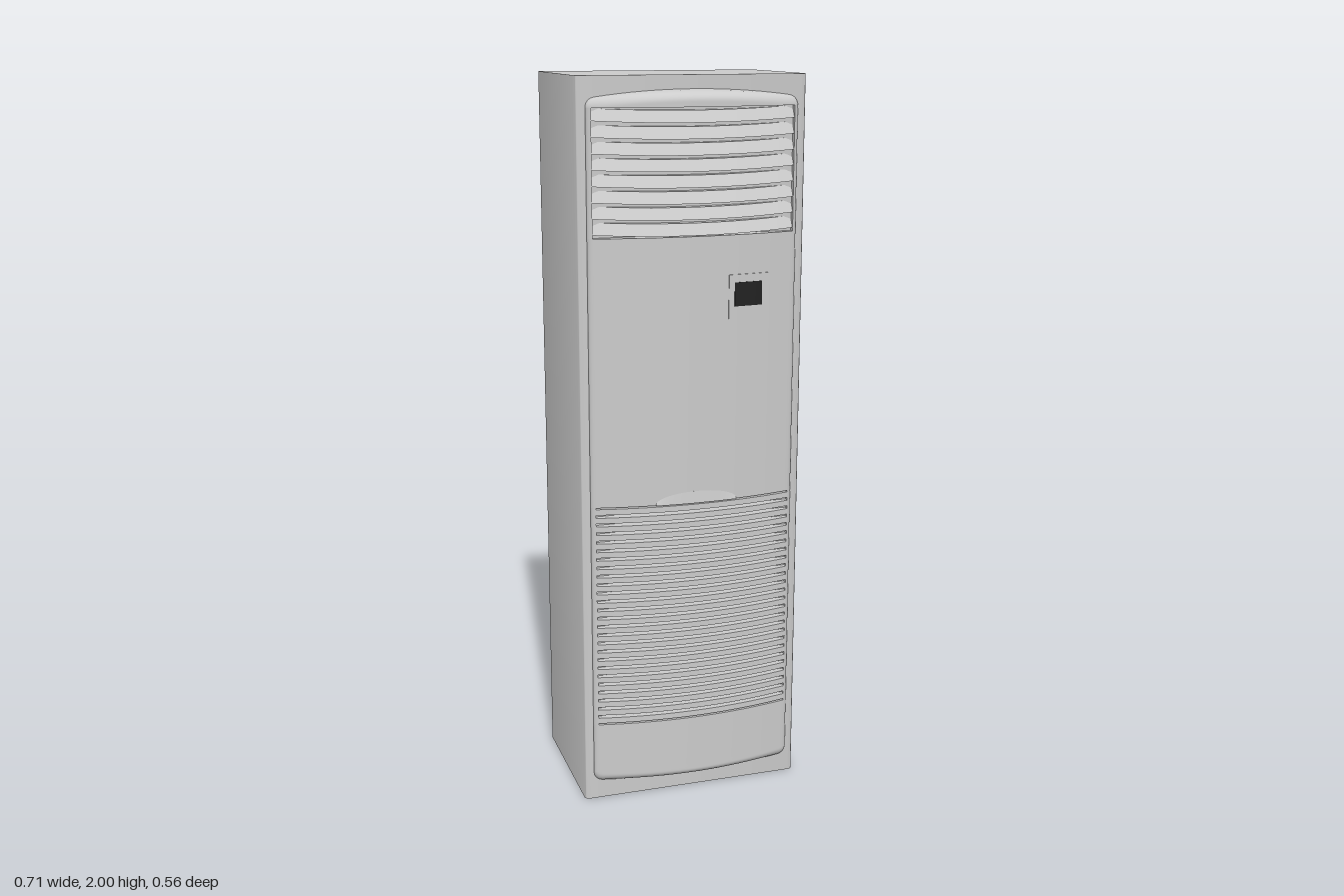
import * as THREE from 'three';
import { toCreasedNormals } from 'three/addons/utils/BufferGeometryUtils.js';

const W = 0.628, D = 0.411, H = 2;      // cabinet
const HALF = 0.288;                      // half width of the bowed front panel
const BACK = 0.2;                        // panel pieces start just inside the cabinet front
const GRILLE = 0.276;                    // half width of the openings

const grey = new THREE.MeshStandardMaterial({ color: 0xcccccc });
const dark = new THREE.MeshStandardMaterial({ color: 0x222222 });

// quarter-round falloff: 0 at the edge, 1 from distance r inward
const round = (d, r) => (d >= r ? 1 : Math.sqrt(Math.max(0, 1 - (1 - d / r) ** 2)));

// depth of the bowed front at a sideways position
const bow = (x) => {
  const t = x / HALF;
  return 0.208 + (0.042 - 0.034 * t * t) * round(HALF - Math.abs(x), 0.012);
};

// a box whose height and front follow rules across its width
function bentBox(name, x0, x1, low, high, front, { nx = 28, ny = 1, material = grey, dense = false } = {}) {
  const geo = new THREE.BoxGeometry(1, 1, 1, nx, ny, 1);
  const p = geo.attributes.position;
  for (let i = 0; i < p.count; i++) {
    let s = p.getX(i) * 2;
    if (dense) s = Math.sin(s * Math.PI / 2);       // finer steps at the rounded sides
    const x = x0 + (x1 - x0) * (s + 1) / 2;
    const t = p.getY(i) + 0.5;
    const y = low(x) + (high(x) - low(x)) * t;
    p.setXYZ(i, x, y, p.getZ(i) > 0 ? front(x, y, t) : BACK);
  }
  geo.computeVertexNormals();
  const mesh = new THREE.Mesh(geo, material);
  mesh.name = name;
  return mesh;
}

const level = (y) => () => y;

function makeCabinet() {
  const w = W / 2, d = D / 2, r = 0.014;
  // plan drawn with shape y = -z, so the front corners are the lower ones
  const s = new THREE.Shape();
  s.moveTo(-w, d);
  s.lineTo(-w, -d + r);
  s.absarc(-w + r, -d + r, r, Math.PI, Math.PI * 1.5, false);
  s.lineTo(w - r, -d);
  s.absarc(w - r, -d + r, r, Math.PI * 1.5, Math.PI * 2, false);
  s.lineTo(w, d);
  s.closePath();
  let geo = new THREE.ExtrudeGeometry(s, { depth: H, bevelEnabled: false, curveSegments: 8 });
  geo.rotateX(-Math.PI / 2);
  geo = toCreasedNormals(geo, 0.6);
  const mesh = new THREE.Mesh(geo, grey);
  mesh.name = 'cabinet';
  return mesh;
}

function makeFrontPanel() {
  const g = new THREE.Group();
  g.name = 'frontPanel';
  const full = { dense: true, nx: 40 };
  const corner = (x, r) => r * (1 - round(HALF - Math.abs(x), r));
  const topEdge = (x) => 1.965 - 0.02 * (x / HALF) ** 2 - corner(x, 0.022);
  const bottomEdge = (x) => 0.045 + 0.01 * (x / HALF) ** 2 + corner(x, 0.022);

  // rounded top and bottom rims
  g.add(bentBox('topRim', -HALF, HALF, level(1.92), topEdge, (x, y) => {
    const f = round(topEdge(x) - y, Math.min(0.03, topEdge(x) - 1.92));
    return BACK + (bow(x) - BACK) * f;
  }, { ...full, ny: 10 }));
  g.add(bentBox('bottomRim', -HALF, HALF, bottomEdge, level(0.085), (x, y) => {
    const f = round(y - bottomEdge(x), Math.min(0.025, 0.085 - bottomEdge(x)));
    return BACK + (bow(x) - BACK) * f;
  }, { ...full, ny: 10 }));

  // plain areas
  g.add(bentBox('middlePanel', -HALF, HALF, level(0.865), level(1.59), bow, full));
  g.add(bentBox('lowerPanel', -HALF, HALF, level(0.085), level(0.23), bow, full));

  // narrow posts beside both openings
  for (const [y0, y1] of [[0.23, 0.865], [1.59, 1.92]]) {
    g.add(bentBox('rightPost', -HALF, -GRILLE, level(y0), level(y1), bow, { nx: 8, dense: true }));
    g.add(bentBox('leftPost', GRILLE, HALF, level(y0), level(y1), bow, { nx: 8, dense: true }));
  }
  return g;
}

// sloping, slightly drooping blades of the upper outlet
function makeOutlet() {
  const g = new THREE.Group();
  g.name = 'airOutlet';
  const n = 8, pitch = 0.33 / n;
  const droop = (x) => 0.007 * (x / GRILLE) ** 2;
  for (let i = 0; i < n; i++) {
    const y = 1.59 + i * pitch + 0.002;
    g.add(bentBox('outletBlade', -GRILLE, GRILLE,
      (x) => y + droop(x), (x) => y + 0.031 + droop(x),
      (x, yy, t) => bow(x) - 0.002 - 0.016 * t));
  }
  return g;
}

// fine horizontal bars of the lower intake
function makeIntake() {
  const g = new THREE.Group();
  g.name = 'airIntake';
  const n = 26, pitch = 0.635 / n;
  for (let i = 0; i < n; i++) {
    const y = 0.23 + (i + 0.5) * pitch;
    g.add(bentBox('intakeBar', -GRILLE, GRILLE, level(y - 0.008), level(y + 0.008), bow));
  }
  // shallow arched finger grip above the bars
  g.add(bentBox('intakeGrip', -0.115, 0.115, level(0.865),
    (x) => 0.866 + 0.032 * Math.sqrt(Math.max(0, 1 - (x / 0.115) ** 2)),
    (x, y, t) => bow(x) + 0.004 * (1 - t), { dense: true }));
  return g;
}

function makeControls() {
  const g = new THREE.Group();
  g.name = 'controls';
  const raised = (h) => (x) => bow(x) + h;
  g.add(bentBox('controlPlate', 0.087, 0.204, level(1.367), level(1.485), raised(0.003), { nx: 8 }));
  g.add(bentBox('screen', 0.103, 0.183, level(1.4), level(1.464), raised(0.0045), { nx: 6, material: dark }));
  g.add(bentBox('button', 0.132, 0.138, level(1.374), level(1.38), raised(0.005), { nx: 2 }));
  return g;
}

export function createModel() {
  const model = new THREE.Group();
  model.name = 'standingAirConditioner';
  model.add(makeCabinet(), makeFrontPanel(), makeOutlet(), makeIntake(), makeControls());
  model.rotation.y = -THREE.MathUtils.degToRad(15);   // the unit stands turned to one side
  const root = new THREE.Group();
  root.add(model);
  return root;
}
